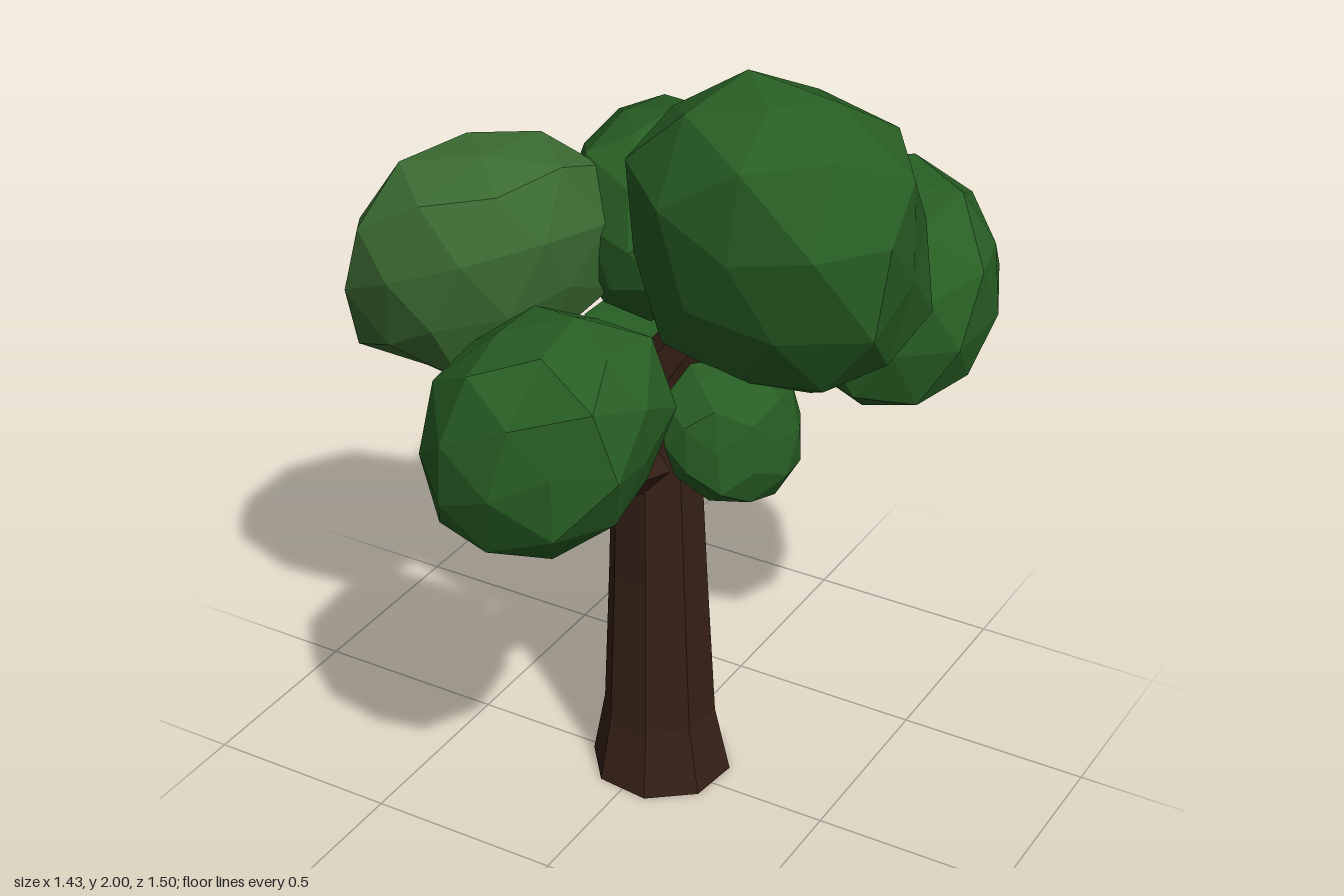
import * as THREE from 'three';

const bark = new THREE.MeshStandardMaterial({ color: 0x362116, flatShading: true });
const leaf = new THREE.MeshStandardMaterial({ color: 0x285f24, flatShading: true });
const paleLeaf = new THREE.MeshStandardMaterial({ color: 0x3b6b32, flatShading: true });

// Faceted limb lofted through [x, y, z, radius] stations, closed at both ends
function limb(name, stations, sides) {
  const pts = stations.map(s => new THREE.Vector3(s[0], s[1], s[2]));
  const up = new THREE.Vector3(0, 1, 0);
  const pos = [], index = [];
  stations.forEach((s, i) => {
    const dir = pts[Math.min(i + 1, pts.length - 1)].clone().sub(pts[Math.max(i - 1, 0)]).normalize();
    if (i === 0 && s[1] === 0) dir.copy(up); // flat on the ground
    const q = new THREE.Quaternion().setFromUnitVectors(up, dir);
    for (let k = 0; k < sides; k++) {
      const a = ((k + 0.35) / sides) * Math.PI * 2;
      const v = new THREE.Vector3(Math.sin(a) * s[3], 0, Math.cos(a) * s[3]).applyQuaternion(q).add(pts[i]);
      pos.push(v.x, v.y, v.z);
    }
  });
  for (let i = 0; i < pts.length - 1; i++) {
    for (let k = 0; k < sides; k++) {
      const a = i * sides + k, b = i * sides + (k + 1) % sides;
      index.push(a, b, b + sides, a, b + sides, a + sides);
    }
  }
  const last = (pts.length - 1) * sides;
  for (let k = 1; k < sides - 1; k++) {
    index.push(0, k + 1, k, last, last + k, last + k + 1);
  }
  const geo = new THREE.BufferGeometry();
  geo.setAttribute('position', new THREE.Float32BufferAttribute(pos, 3));
  geo.setIndex(index);
  geo.computeVertexNormals();
  const mesh = new THREE.Mesh(geo, bark);
  mesh.name = name;
  return mesh;
}

// Lumpy foliage ball: jittered, slightly boxy, sheared, then fitted to the box min..max
function foliage({ name, min, max, shear, seed, power = 2.5, material = leaf }) {
  const geo = new THREE.IcosahedronGeometry(1, 1);
  const p = geo.attributes.position;
  const v = new THREE.Vector3();
  const turn = new THREE.Euler(seed * 1.3, seed * 2.1, seed * 0.7);
  for (let i = 0; i < p.count; i++) {
    v.fromBufferAttribute(p, i);
    const n = Math.sin(Math.round(v.x * 50) * 1.27 + Math.round(v.y * 50) * 3.11 + Math.round(v.z * 50) * 2.43 + seed * 5);
    v.applyEuler(turn);
    const box = Math.pow(Math.abs(v.x) ** power + Math.abs(v.y) ** power + Math.abs(v.z) ** power, -1 / power);
    v.multiplyScalar(box * (1 + 0.04 * n));
    v.x += shear[0] * v.y + shear[2] * v.z;
    v.z += shear[1] * v.y;
    p.setXYZ(i, v.x, v.y, v.z);
  }
  geo.computeBoundingBox();
  const from = geo.boundingBox.getSize(new THREE.Vector3());
  const size = new THREE.Vector3(...max).sub(new THREE.Vector3(...min));
  geo.center();
  geo.scale(size.x / from.x, size.y / from.y, size.z / from.z);
  geo.computeVertexNormals();
  const mesh = new THREE.Mesh(geo, material);
  mesh.position.set((min[0] + max[0]) / 2, (min[1] + max[1]) / 2, (min[2] + max[2]) / 2);
  mesh.name = name;
  return mesh;
}

export function createModel() {
  const tree = new THREE.Group();
  tree.name = 'tree';

  // Trunk with a flared foot, leaning into the crown at the top
  tree.add(limb('trunk', [
    [0.02, 0, -0.03, 0.182], [0.017, 0.18, -0.025, 0.146], [0.014, 0.6, -0.02, 0.126],
    [0.01, 1.0, -0.015, 0.112], [0.07, 1.2, -0.01, 0.085], [0.2, 1.4, 0, 0.06]], 8));

  // Branches
  const branches = {
    frontBranch: [[0.01, 0.93, 0, 0.085], [0, 1.01, 0.31, 0.075], [0, 1.12, 0.4, 0.06]],
    rightBranch: [[0, 0.99, -0.01, 0.085], [-0.16, 1.12, 0.02, 0.07], [-0.35, 1.32, 0.05, 0.05]],
    backLeftBranch: [[0.02, 1.09, -0.02, 0.09], [0.14, 1.14, -0.18, 0.08], [0.32, 1.22, -0.4, 0.05]],
    lowBackBranch: [[0, 0.95, -0.04, 0.065], [-0.08, 0.98, -0.18, 0.055], [-0.16, 1.02, -0.3, 0.04]]
  };
  for (const [name, stations] of Object.entries(branches)) tree.add(limb(name, stations, 6));

  // Foliage clumps
  [
    { name: 'topFoliage', min: [0, 1.2, -0.31], max: [0.68, 2, 0.3], shear: [0, 0.22, 0], seed: 1, power: 2.7 },
    { name: 'rightFoliage', min: [-0.72, 1.09, -0.24], max: [-0.13, 1.69, 0.36], shear: [0.2, 0, -0.2], seed: 2, material: paleLeaf },
    { name: 'frontFoliage', min: [-0.3, 0.96, 0.2], max: [0.29, 1.5, 0.75], shear: [0.2, -0.05, 0.15], seed: 3, power: 2.8 },
    { name: 'backLeftFoliage', min: [0.09, 1.02, -0.75], max: [0.71, 1.58, -0.2], shear: [0.05, -0.15, 0.35], seed: 4 },
    { name: 'backFoliage', min: [-0.4, 1.21, -0.58], max: [0.09, 1.7, 0.02], shear: [0, 0, 0.35], seed: 5 },
    { name: 'smallLeftFoliage', min: [0.16, 0.96, -0.04], max: [0.43, 1.32, 0.28], shear: [-0.15, 0, -0.25], seed: 6 },
    { name: 'smallBackFoliage', min: [-0.36, 0.86, -0.49], max: [0.08, 1.17, -0.2], shear: [0, 0, -0.5], seed: 7 }
  ].forEach(spec => tree.add(foliage(spec)));

  return tree;
}
